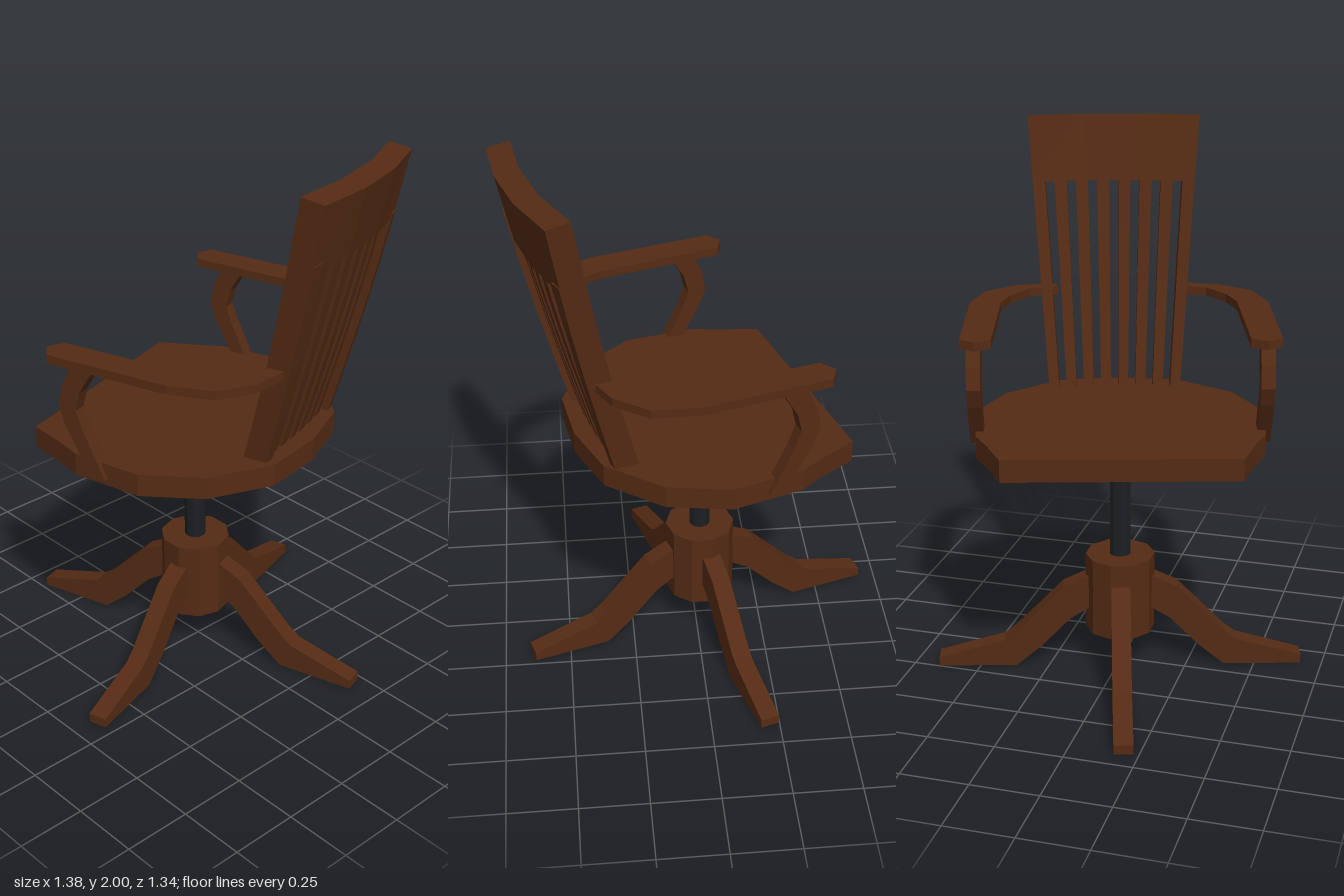
import * as THREE from 'three';

const wood = new THREE.MeshStandardMaterial({ color: 0x552b14, flatShading: true });
const metal = new THREE.MeshStandardMaterial({ color: 0x1c1f22, flatShading: true });

// Local frame: the chair faces +z; the whole chair is swivelled at the end.
function add(parent, name, geometry, material = wood) {
  const mesh = new THREE.Mesh(geometry, material);
  mesh.name = name;
  parent.add(mesh);
  return mesh;
}

function extrude(points, depth) {
  const shape = new THREE.Shape(points.map(([x, y]) => new THREE.Vector2(x, y)));
  return new THREE.ExtrudeGeometry(shape, { depth, bevelEnabled: false });
}

// Flat slab from a plan outline of [x, z] points
function slab(outline, y0, y1) {
  return extrude(outline.map(([x, z]) => [x, -z]), y1 - y0)
    .rotateX(-Math.PI / 2).translate(0, y0, 0);
}

// Upright plate from a side profile of [z, y] points, centred on x
function plate(profile, thickness, x) {
  return extrude(profile, thickness)
    .rotateY(-Math.PI / 2).translate(x + thickness / 2, 0, 0);
}

// Backrest member: a box bent onto the leaning, flaring, curved back.
// s runs from -1 to 1 across the back, d is the depth behind its front face.
function backMember(s0, s1, y0, y1, d0, d1, columns, rows) {
  const geometry = new THREE.BoxGeometry(1, 1, 1, columns, rows, 1);
  const p = geometry.attributes.position;
  for (let i = 0; i < p.count; i++) {
    const s = THREE.MathUtils.lerp(s0, s1, p.getX(i) + 0.5);
    const y = THREE.MathUtils.lerp(y0, y1, p.getY(i) + 0.5);
    const d = THREE.MathUtils.lerp(d1, d0, p.getZ(i) + 0.5);
    const t = (y - 0.98) / 1.02;
    const halfWidth = 0.25 + 0.075 * t;
    const bow = (0.015 + 0.025 * t) * (1 - s * s);
    const front = -0.335 - 0.23 * t - 0.012 * Math.sin(Math.PI * t);
    p.setXYZ(i, s * halfWidth - 0.015, y - 0.17 * d * t, front - bow - d);
  }
  geometry.computeVertexNormals();
  return geometry;
}

export function createModel() {
  const chair = new THREE.Group();
  chair.name = 'swivelArmchair';

  // Pedestal: hub, column and four curved feet
  add(chair, 'hub', new THREE.CylinderGeometry(0.13, 0.13, 0.3, 10, 1, false, 0.34).translate(0, 0.302, 0));
  add(chair, 'column', new THREE.CylinderGeometry(0.04, 0.04, 0.48, 10).translate(0, 0.67, 0), metal);
  const legProfile = [
    [0.09, 0.37], [0.13, 0.365], [0.215, 0.325], [0.395, 0.14], [0.44, 0.105], [0.69, 0.035],
    [0.69, 0], [0.395, 0], [0.30, 0.08], [0.19, 0.195], [0.125, 0.235], [0.09, 0.25],
  ];
  for (let i = 0; i < 4; i++) {
    add(chair, 'leg' + (i + 1), plate(legProfile, 0.07, 0)).rotation.y = i * Math.PI / 2;
  }

  // Seat: straight front, swelling sides, rounded back
  const seatHalf = [
    [0.42, 0.415], [0.475, 0.265], [0.515, 0.178], [0.53, -0.089],
    [0.43, -0.3], [0.23, -0.455],
  ];
  const seatOutline = [
    ...seatHalf, [0, -0.485],
    ...seatHalf.map(([x, z]) => [-x, z]).reverse(),
  ];
  add(chair, 'seat', slab(seatOutline, 0.902, 0.985));

  // Arms and their S-shaped supports
  const armOutline = [
    [0.446, 0.255], [0.503, 0.289], [0.556, 0.253], [0.552, -0.218], [0.505, -0.378],
    [0.391, -0.469], [0.25, -0.502], [0.23, -0.455], [0.336, -0.424],
    [0.405, -0.324], [0.437, -0.221],
  ];
  const supportProfile = [
    [0.165, 1.34], [0.207, 1.25], [0.223, 1.17], [0.195, 1.10], [0.098, 0.93],
    [0.04, 0.93], [0.125, 1.10], [0.152, 1.17], [0.135, 1.24], [0.076, 1.34],
  ];
  for (const side of [1, -1]) {
    const prefix = side > 0 ? 'left' : 'right';
    add(chair, prefix + 'Arm', slab(armOutline.map(([x, z]) => [side * x, z]), 1.333, 1.365));
    add(chair, prefix + 'ArmSupport', plate(supportProfile, 0.05, side * 0.515));
  }

  // Backrest: two stiles, six slats and a curved top panel
  const back = new THREE.Group();
  back.name = 'backrest';
  chair.add(back);
  add(back, 'rightStile', backMember(-1, -0.85, 0.98, 1.78, 0, 0.088, 1, 4));
  add(back, 'leftStile', backMember(0.85, 1, 0.98, 1.78, 0, 0.088, 1, 4));
  for (let i = 1; i <= 6; i++) {
    const s = (i - 3.5) * 0.264;
    add(back, 'slat' + i, backMember(s - 0.075, s + 0.075, 0.98, 1.78, 0.015, 0.065, 1, 4));
  }
  add(back, 'topPanel', backMember(-1, 1, 1.755, 2, 0, 0.085, 3, 1));

  // Swivel the chair so it faces mostly toward -x
  chair.rotation.y = THREE.MathUtils.degToRad(-73.4);
  chair.position.x = -0.017;
  const model = new THREE.Group();
  model.name = 'model';
  model.add(chair);
  return model;
}
